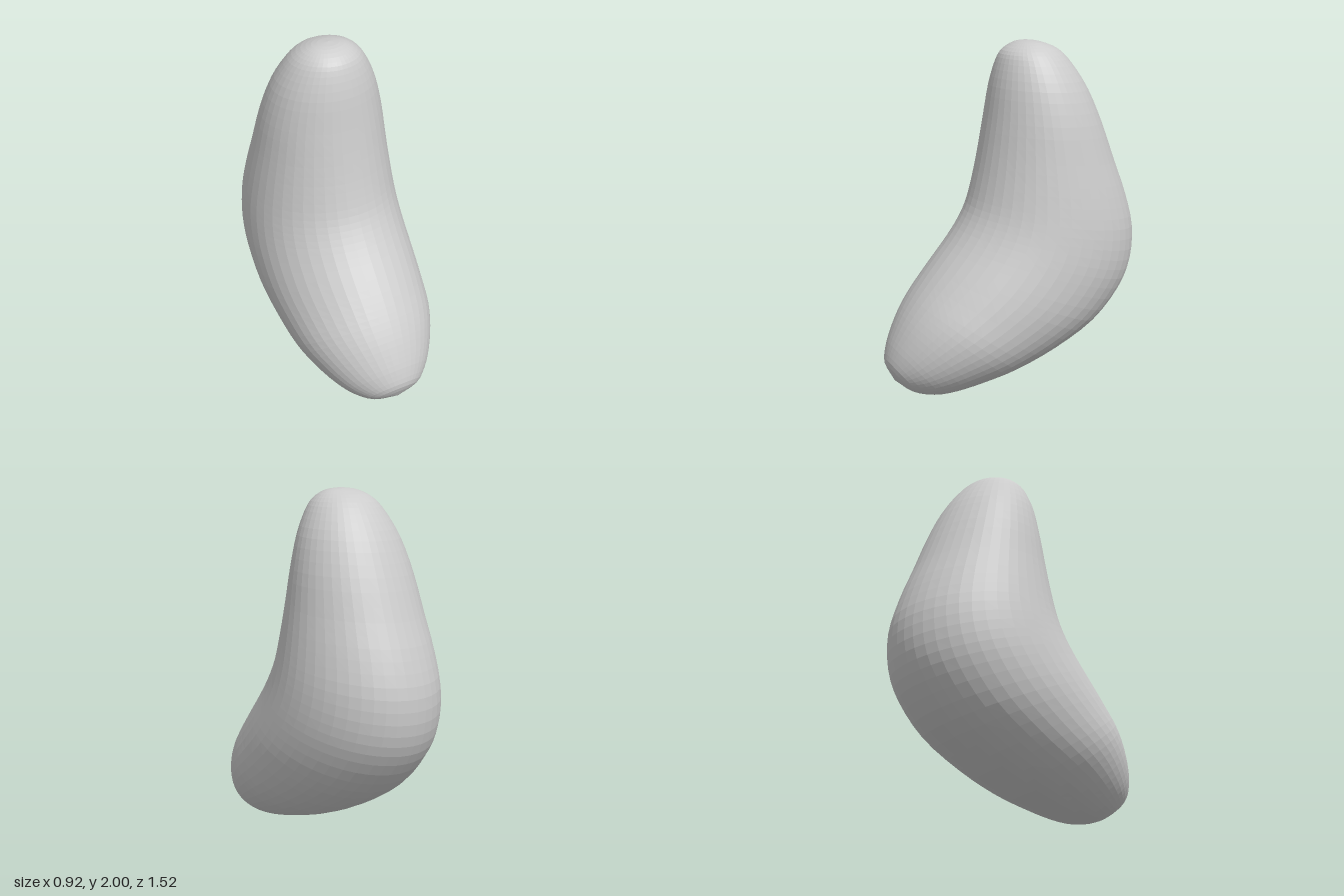
import * as THREE from 'three';

// Cross-sections from top to toe: front z, front y, back z, back y, half width
const SECTIONS = [
  [-0.11, 2.0, -0.11, 2.0, 0],
  [-0.04, 1.988, -0.19, 1.988, 0.095],
  [0.03, 1.945, -0.29, 1.945, 0.17],
  [0.065, 1.88, -0.37, 1.86, 0.23],
  [0.1, 1.75, -0.46, 1.72, 0.295],
  [0.13, 1.57, -0.545, 1.53, 0.345],
  [0.165, 1.38, -0.63, 1.3, 0.38],
  [0.2, 1.22, -0.705, 1.1, 0.41],
  [0.24, 1.08, -0.755, 0.9, 0.435],
  [0.29, 0.98, -0.745, 0.7, 0.45],
  [0.36, 0.88, -0.67, 0.53, 0.457],
  [0.45, 0.77, -0.5, 0.345, 0.455],
  [0.53, 0.67, -0.25, 0.2, 0.437],
  [0.6, 0.575, 0, 0.1, 0.41],
  [0.66, 0.48, 0.2, 0.045, 0.36],
  [0.71, 0.38, 0.37, 0.008, 0.295],
  [0.745, 0.29, 0.5, 0.0, 0.225],
  [0.76, 0.2, 0.62, 0.03, 0.135],
  [0.715, 0.1, 0.715, 0.1, 0],
];

// Elliptical loops strung between the front and back outlines
function bodyGeometry(rings, sides) {
  const spline = (pick) => new THREE.CatmullRomCurve3(
    SECTIONS.map((s) => new THREE.Vector3(...pick(s))), false, 'catmullrom', 0.5);
  const front = spline((s) => [s[4], s[1], s[0]]); // x carries the half width
  const back = spline((s) => [0, s[3], s[2]]);
  const positions = [];
  const index = [];
  for (let j = 0; j <= rings; j++) {
    const f = front.getPoint(j / rings);
    const b = back.getPoint(j / rings);
    for (let i = 0; i < sides; i++) {
      const a = (i / sides) * Math.PI * 2;
      const k = (1 + Math.cos(a)) / 2;
      positions.push(
        f.x * Math.sin(a),
        Math.max(0, b.y + (f.y - b.y) * k),
        b.z + (f.z - b.z) * k);
      if (j === rings) continue;
      const n = (i + 1) % sides;
      const p = j * sides + i, q = j * sides + n;
      if (j < rings - 1) index.push(p, p + sides, q + sides);
      else index.push(p, p + sides, q);
      if (j > 0 && j < rings - 1) index.push(p, q + sides, q);
    }
  }
  const geometry = new THREE.BufferGeometry();
  geometry.setAttribute('position', new THREE.Float32BufferAttribute(positions, 3));
  geometry.setIndex(index);
  geometry.computeVertexNormals();
  return geometry;
}

export function createModel() {
  const group = new THREE.Group();
  group.name = 'bean';
  const material = new THREE.MeshStandardMaterial({ color: 0xcccccc, flatShading: true });
  const body = new THREE.Mesh(bodyGeometry(54, 44), material);
  body.name = 'beanBody';
  group.add(body);
  return group;
}
